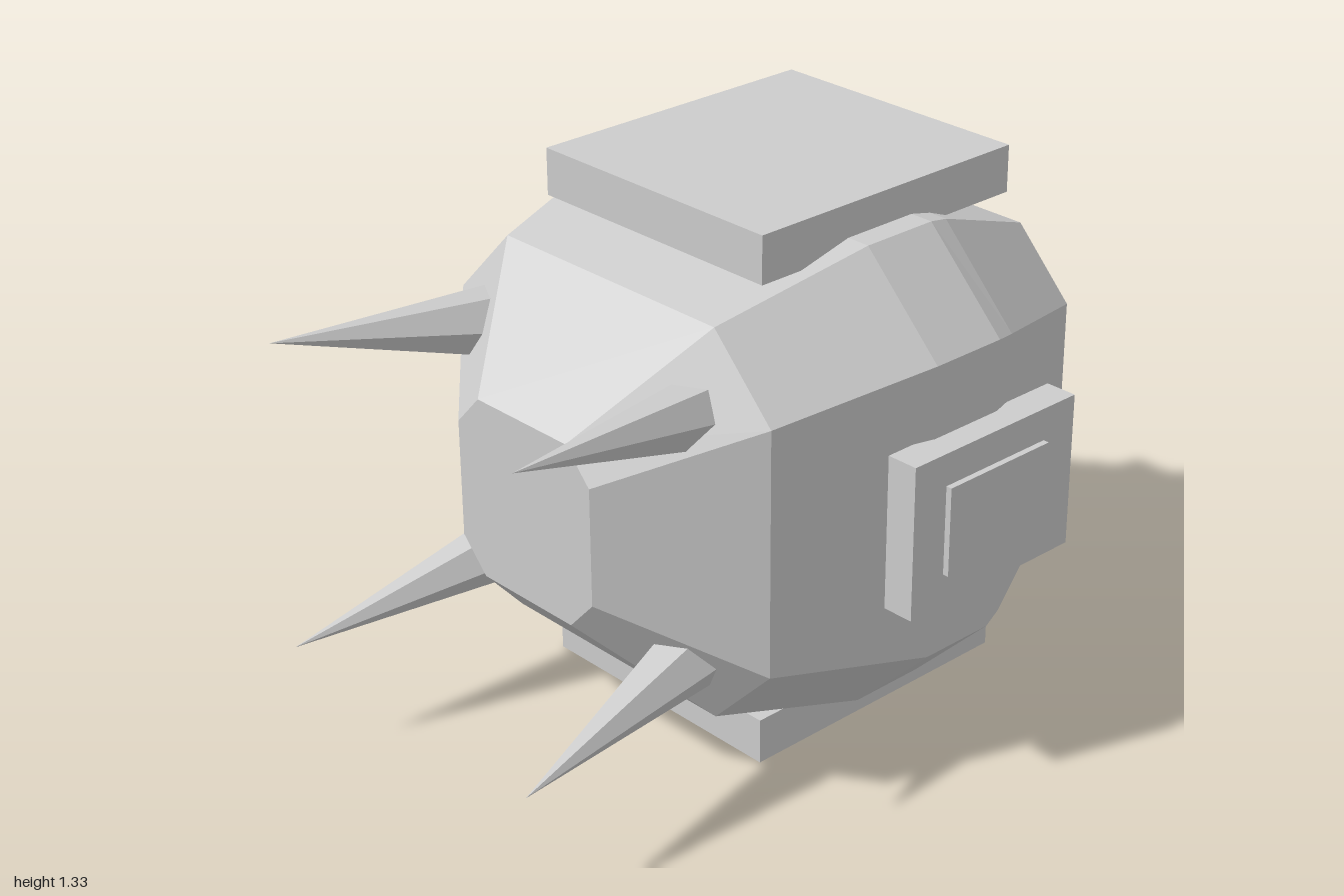
import * as THREE from 'three';

const CY = 0.665; // height of the hull axis

// Flat-shaded geometry from a list of triangles
function fromTriangles(tris) {
  const geo = new THREE.BufferGeometry().setFromPoints(tris.flat());
  geo.computeVertexNormals();
  return geo;
}

// Octagonal hull lofted through sections [z, halfWidth, cornerX, halfHeight, cornerY]
function hullGeometry() {
  const sections = [
    [-0.84, 0.26, 0.17, 0.255, 0.165],
    [-0.645, 0.45, 0.295, 0.415, 0.255],
    [-0.26, 0.612, 0.404, 0.566, 0.354],
    [-0.2, 0.63, 0.415, 0.58, 0.365],
    [0, 0.63, 0.415, 0.58, 0.365],
    [0.39, 0.52, 0.345, 0.485, 0.305],
    [0.645, 0.225, 0.15, 0.225, 0.145],
  ];
  const rings = sections.map(([z, w, cx, h, cy]) =>
    [[w, -cy], [w, cy], [cx, h], [-cx, h], [-w, cy], [-w, -cy], [-cx, -h], [cx, -h]]
      .map(([x, y]) => new THREE.Vector3(x, CY + y, z)));
  const tris = [];
  for (let s = 0; s < rings.length - 1; s++) {
    const a = rings[s], b = rings[s + 1];
    for (let i = 0; i < 8; i++) {
      const j = (i + 1) % 8;
      tris.push([a[i], a[j], b[j]], [a[i], b[j], b[i]]);
    }
  }
  const back = rings[0], front = rings[rings.length - 1];
  for (let i = 1; i < 7; i++) {
    tris.push([front[0], front[i], front[i + 1]], [back[0], back[i + 1], back[i]]);
  }
  return fromTriangles(tris);
}

// Six-sided spike: slanted base ring on the hull, point leaning outward
function spikeGeometry(sx, sy) {
  const r = 0.074;
  const centre = new THREE.Vector3(sx * 0.34, CY + sy * 0.302, 0.475);
  const tip = new THREE.Vector3(sx * 0.416, CY + sy * 0.385, 1);
  const ring = [];
  for (let i = 0; i < 6; i++) {
    const a = (i / 6) * Math.PI * 2;
    const dx = r * Math.cos(a), dy = r * Math.sin(a);
    ring.push(new THREE.Vector3(centre.x + dx, centre.y + dy, centre.z - 0.39 * (sx * dx + sy * dy)));
  }
  return fromTriangles(ring.flatMap((p, i) => {
    const q = ring[(i + 1) % 6];
    return [[p, q, tip], [q, p, centre]];
  }));
}

export function createModel() {
  const group = new THREE.Group();
  const grey = new THREE.MeshStandardMaterial({ color: 0xcccccc });
  grey.name = 'grey';
  grey.flatShading = true;

  const add = (name, geo, x = 0, y = 0, z = 0) => {
    const mesh = new THREE.Mesh(geo, grey);
    mesh.name = name;
    mesh.position.set(x, y, z);
    group.add(mesh);
    return mesh;
  };

  add('hull', hullGeometry());

  // Top and bottom plates
  const plate = new THREE.BoxGeometry(0.71, 0.115, 0.78);
  add('topPlate', plate, 0, 1.2675, -0.13);
  add('bottomPlate', plate, 0, 0.0575, -0.13);

  // Side panels with a smaller raised panel on each
  for (const [side, sx] of [['left', 1], ['right', -1]]) {
    add(side + 'Panel', new THREE.BoxGeometry(0.08, 0.38, 0.52), sx * 0.655, CY, -0.13);
    add(side + 'RaisedPanel', new THREE.BoxGeometry(0.04, 0.22, 0.32), sx * 0.69, CY, -0.13);
  }

  // Rear nozzle, narrowing toward the back
  const nozzle = new THREE.CylinderGeometry(0.16, 0.12, 0.18, 12);
  nozzle.rotateX(Math.PI / 2);
  add('nozzle', nozzle, 0, CY, -0.91);

  // Four forward spikes
  for (const sx of [1, -1]) {
    for (const sy of [1, -1]) {
      add((sy > 0 ? 'upper' : 'lower') + (sx > 0 ? 'Left' : 'Right') + 'Spike', spikeGeometry(sx, sy));
    }
  }
  return group;
}
